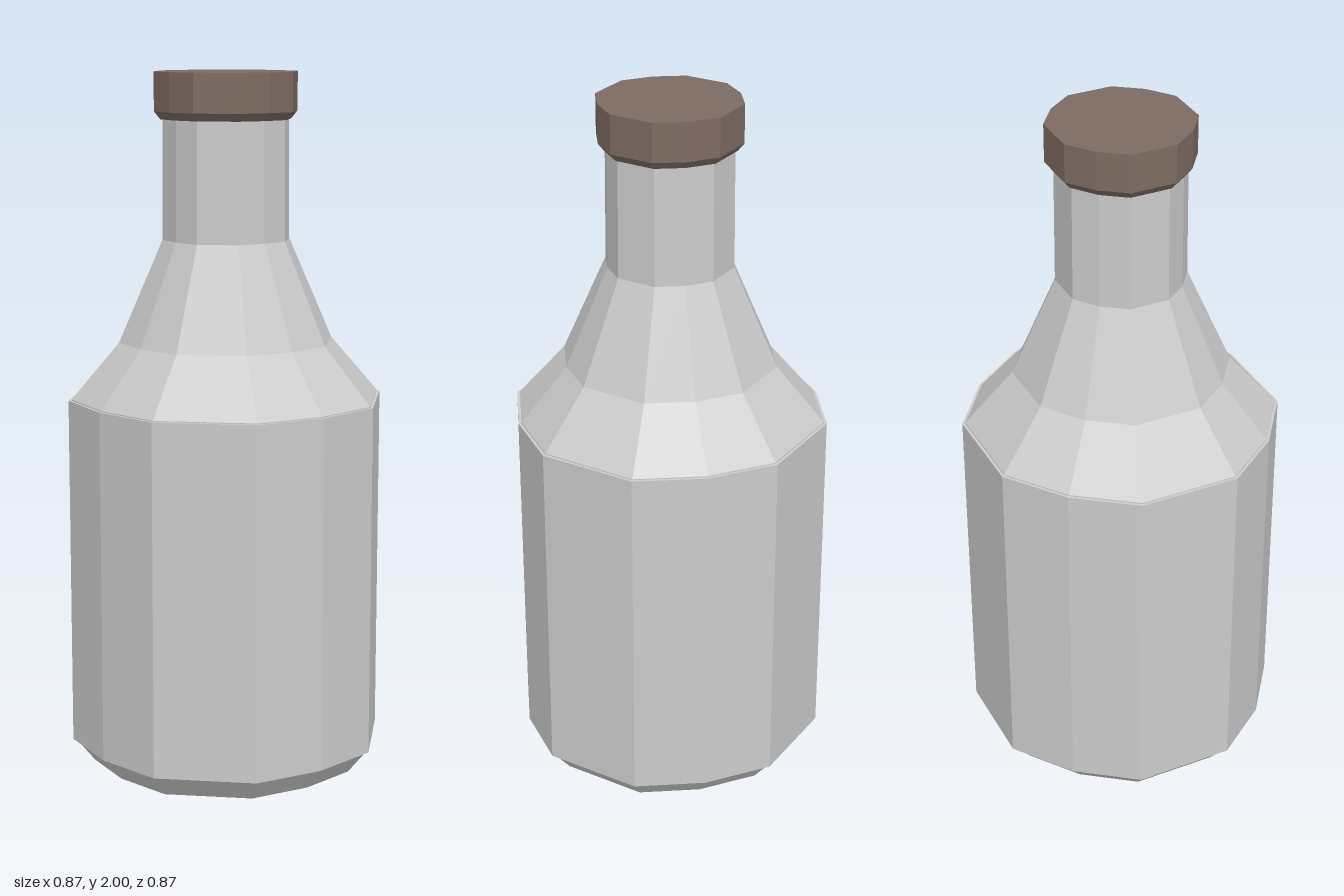
import * as THREE from 'three';

// Twelve-sided outline of unit half-width: wide faces on the axes, narrower ones between
const quarter = [[0.333, 1], [0.718, 0.718], [1, 0.333]];
const outline = [];
for (let q = 0; q < 4; q++) {
  const c = Math.round(Math.cos(q * Math.PI / 2)), s = Math.round(Math.sin(q * Math.PI / 2));
  for (const [x, z] of quarter) outline.push([x * c + z * s, z * c - x * s]);
}

// Sweeps the outline along a profile of [halfWidth, y] listed from bottom to top on the outside
function facetedTurn(name, profile, color) {
  const pos = [];
  const at = ([r, y], i) => {
    const [x, z] = outline[i % outline.length];
    return [x * r, y, z * r];
  };
  for (let k = 0; k < profile.length - 1; k++) {
    const lo = profile[k], hi = profile[k + 1];
    for (let i = 0; i < outline.length; i++) {
      // outline runs from +z towards +x, so this order faces outwards
      const a = at(lo, i), b = at(lo, i + 1), c = at(hi, i + 1), d = at(hi, i);
      if (lo[0] > 0) pos.push(...a, ...b, ...c);
      if (hi[0] > 0) pos.push(...a, ...c, ...d);
    }
  }
  const geometry = new THREE.BufferGeometry();
  geometry.setAttribute('position', new THREE.Float32BufferAttribute(pos, 3));
  geometry.computeVertexNormals();
  const material = new THREE.MeshStandardMaterial({ color, flatShading: true });
  const mesh = new THREE.Mesh(geometry, material);
  mesh.name = name;
  return mesh;
}

export function createModel() {
  const group = new THREE.Group();
  group.name = 'bottle';

  // Bottle: chamfered base, straight body, two-step shoulder and neck
  group.add(facetedTurn('bottleBody', [
    [0, 0], [0.373, 0], [0.425, 0.068], [0.425, 1.08],
    [0.294, 1.24], [0.174, 1.53], [0.172, 1.88], [0, 1.88],
  ], 0xcccccc));

  // Thin label sleeve wrapped round the body
  group.add(facetedTurn('labelSleeve', [
    [0.42, 0.068], [0.433, 0.068], [0.433, 1.077], [0.42, 1.077],
  ], 0xcccccc));

  // Cap with a chamfered lower edge
  group.add(facetedTurn('cap', [
    [0, 1.868], [0.178, 1.868], [0.195, 1.89], [0.195, 2], [0, 2],
  ], 0x7d6b62));

  return group;
}
